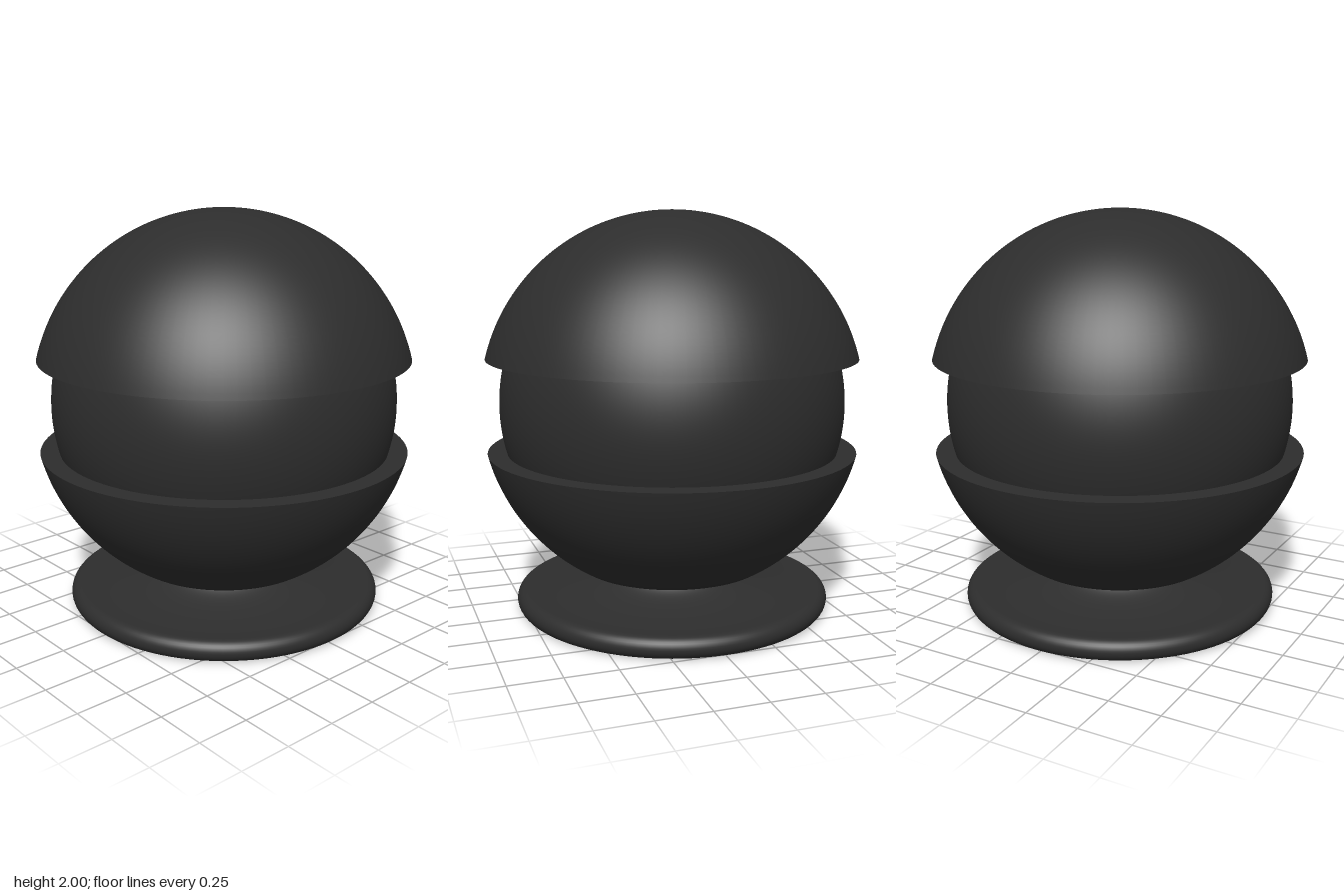
import * as THREE from 'three';

const SEG = 96;
const CY = 1.047; // centre height of the sphere
const R_SHELL = 0.953, R_CORE = 0.86;
const Y_BOTTOM = 0.225, Y_LOW = 0.813, Y_HIGH = 1.281;

// Points on an elliptical arc, angles in radians
function arc(cx, cy, rx, ry, a0, a1, n) {
  return Array.from({ length: n + 1 }, (_, i) => {
    const a = a0 + (a1 - a0) * i / n;
    return new THREE.Vector2(Math.max(0, cx + rx * Math.cos(a)), cy + ry * Math.sin(a));
  });
}

const line = (x0, y0, x1, y1) => [new THREE.Vector2(x0, y0), new THREE.Vector2(x1, y1)];

// Arc of a sphere between two heights
function sphereArc(r, y0, y1, n) {
  return arc(0, CY, r, r, Math.asin((y0 - CY) / r), Math.asin(Math.min(1, (y1 - CY) / r)), n);
}

const radiusAt = (r, y) => Math.sqrt(r * r - (y - CY) ** 2);

export function createModel() {
  const model = new THREE.Group();
  const black = new THREE.MeshStandardMaterial({ color: 0x2d2d2d });
  black.name = 'matte black';

  // A turned part; each profile is smooth and edges between profiles stay sharp
  function turned(name, ...profiles) {
    const group = new THREE.Group();
    group.name = name;
    profiles.forEach((points, i) => {
      const mesh = new THREE.Mesh(new THREE.LatheGeometry(points, SEG), black);
      mesh.name = `${name}Surface${i + 1}`;
      group.add(mesh);
    });
    model.add(group);
  }

  // Round base with a rolled rim
  const t = 0.0525;
  turned('base',
    line(0, 0, 0.795 - t, 0),
    arc(0.795 - t, t, t, t, -Math.PI / 2, Math.PI / 2, 16),
    line(0.795 - t, 2 * t, 0, 2 * t));

  // Concave flare rising to the neck
  turned('neck', arc(0.75, 0.235, 0.41, 0.127, Math.PI * 1.5, Math.PI, 24));

  // Lower shell with a flat underside and an open ledge
  const rLip = radiusAt(R_SHELL, Y_LOW);
  turned('lowerShell',
    line(0, Y_BOTTOM, radiusAt(R_SHELL, Y_BOTTOM), Y_BOTTOM),
    sphereArc(R_SHELL, Y_BOTTOM, Y_LOW, 32),
    line(rLip, Y_LOW, radiusAt(R_CORE, Y_LOW) - 0.01, Y_LOW));

  // Recessed band between the shells
  turned('core', sphereArc(R_CORE, Y_LOW - 0.01, Y_HIGH + 0.01, 24));

  // Upper dome with a flat ledge beneath
  turned('upperShell',
    line(radiusAt(R_CORE, Y_HIGH) - 0.01, Y_HIGH, radiusAt(R_SHELL, Y_HIGH), Y_HIGH),
    sphereArc(R_SHELL, Y_HIGH, CY + R_SHELL, 40));

  return model;
}
